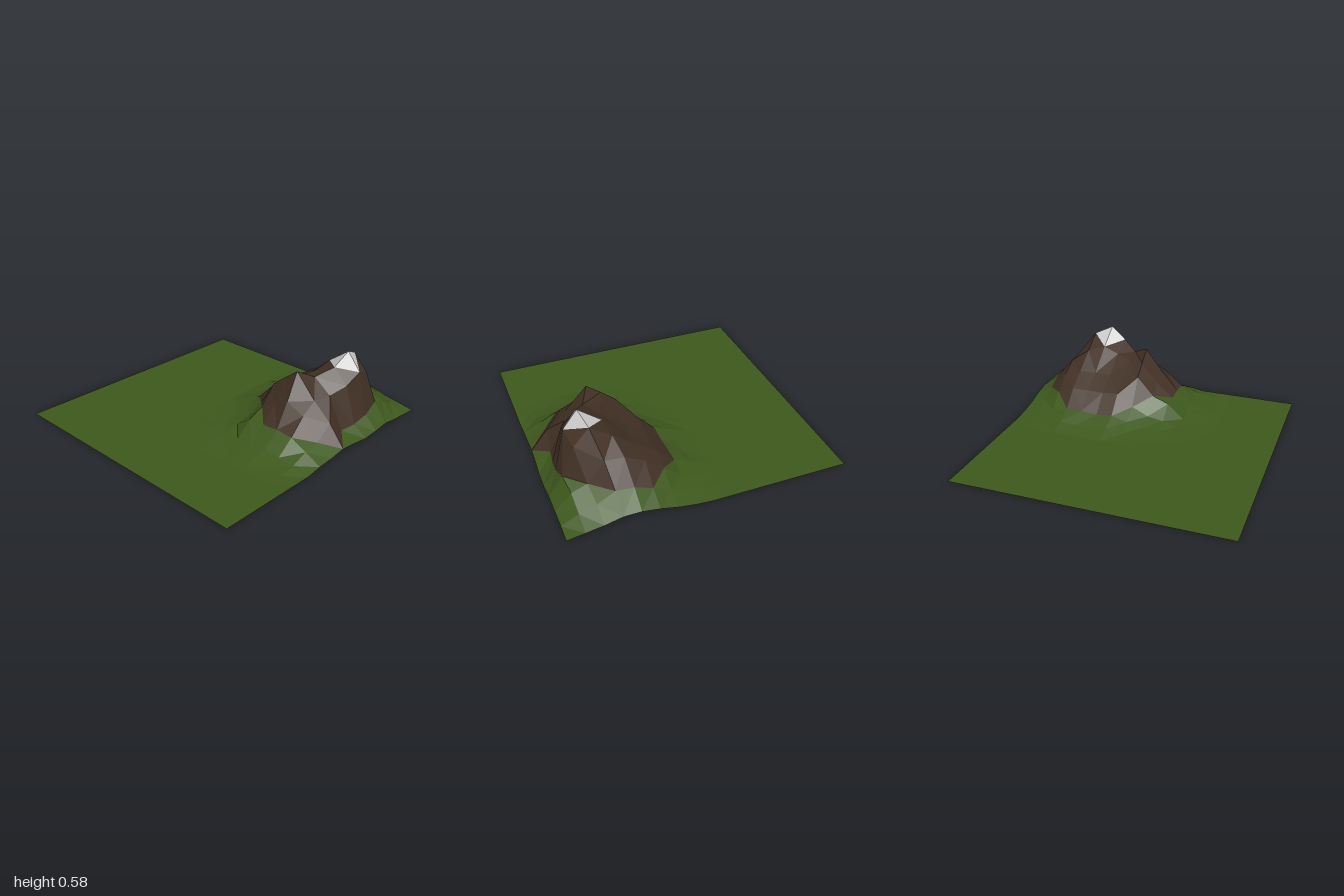
import * as THREE from 'three';

const N = 16;           // cells along each side
const FIRST = 8;        // grid column where the hill begins

// Hill cross-sections from back to front, heights in hundredths
const SECTIONS = [
  [0, 1, 3, 6, 8, 8, 5, 3, 1],
  [1, 3, 7, 13, 18, 19, 12, 8, 2],
  [2, 6, 16, 26, 33, 34, 19, 15, 3],
  [4, 9, 21, 30, 42, 52, 40, 19, 5],
  [3, 9, 21, 30, 46, 58, 45, 14, 4],
  [3, 8, 21, 30, 42, 49, 38, 11, 3],
  [4, 9, 22, 31, 40, 43, 33, 10, 4],
  [2, 6, 13, 33, 41, 49, 32, 20, 5],
  [1, 3, 7, 19, 25, 31, 25, 10, 3],
  [0, 2, 5, 14, 14, 15, 14, 8, 2],
  [0, 1, 2, 3, 4, 5, 4, 3, 0],
  [0, 0, 1, 1, 2, 2, 1, 1, 0],
];

// Soft falloff around a summit
const near = (x, z, cx, cz, width) => Math.exp(-((x - cx) ** 2 + (z - cz) ** 2) / width);

// Grid point, leaning sideways near the two summits
function point(i, j) {
  const x = -1 + i * 1.99 / N, z = -1 + j * 2 / N;
  const y = (SECTIONS[j]?.[i - FIRST] ?? 0) / 100;
  if (y === 0) return new THREE.Vector3(x, y, z);
  const main = near(x, z, 0.635, -0.48, 0.055);
  const second = near(x, z, 0.6, -0.13, 0.02);
  return new THREE.Vector3(x + 0.12 * main - 0.06 * second, y, z + 0.025 * main);
}

export function createModel() {
  const group = new THREE.Group();
  const layers = {
    grass: { color: 0x3e581d, points: [] },
    rock: { color: 0x413024, points: [] },
    snowCap: { color: 0xdddddd, points: [] },
  };

  // Each triangle joins a layer by its highest corner
  const addTriangle = (...corners) => {
    const top = Math.max(...corners.map((p) => p.y));
    const name = top > 0.55 ? 'snowCap' : top > 0.195 ? 'rock' : 'grass';
    layers[name].points.push(...corners);
  };

  // Grid cells, split along the more level diagonal
  for (let i = 0; i < N; i++) {
    for (let j = 0; j < N; j++) {
      const a = point(i, j), b = point(i, j + 1);
      const c = point(i + 1, j + 1), d = point(i + 1, j);
      if (Math.abs(a.y - c.y) < Math.abs(b.y - d.y)) {
        addTriangle(a, b, c);
        addTriangle(a, c, d);
      } else {
        addTriangle(a, b, d);
        addTriangle(b, c, d);
      }
    }
  }

  // One faceted open surface per layer
  for (const [name, { color, points }] of Object.entries(layers)) {
    const geometry = new THREE.BufferGeometry().setFromPoints(points);
    geometry.computeVertexNormals();
    const mesh = new THREE.Mesh(geometry, new THREE.MeshStandardMaterial({
      color, flatShading: true, side: THREE.DoubleSide,
    }));
    mesh.name = name;
    group.add(mesh);
  }
  group.name = 'mountainTerrain';
  return group;
}
